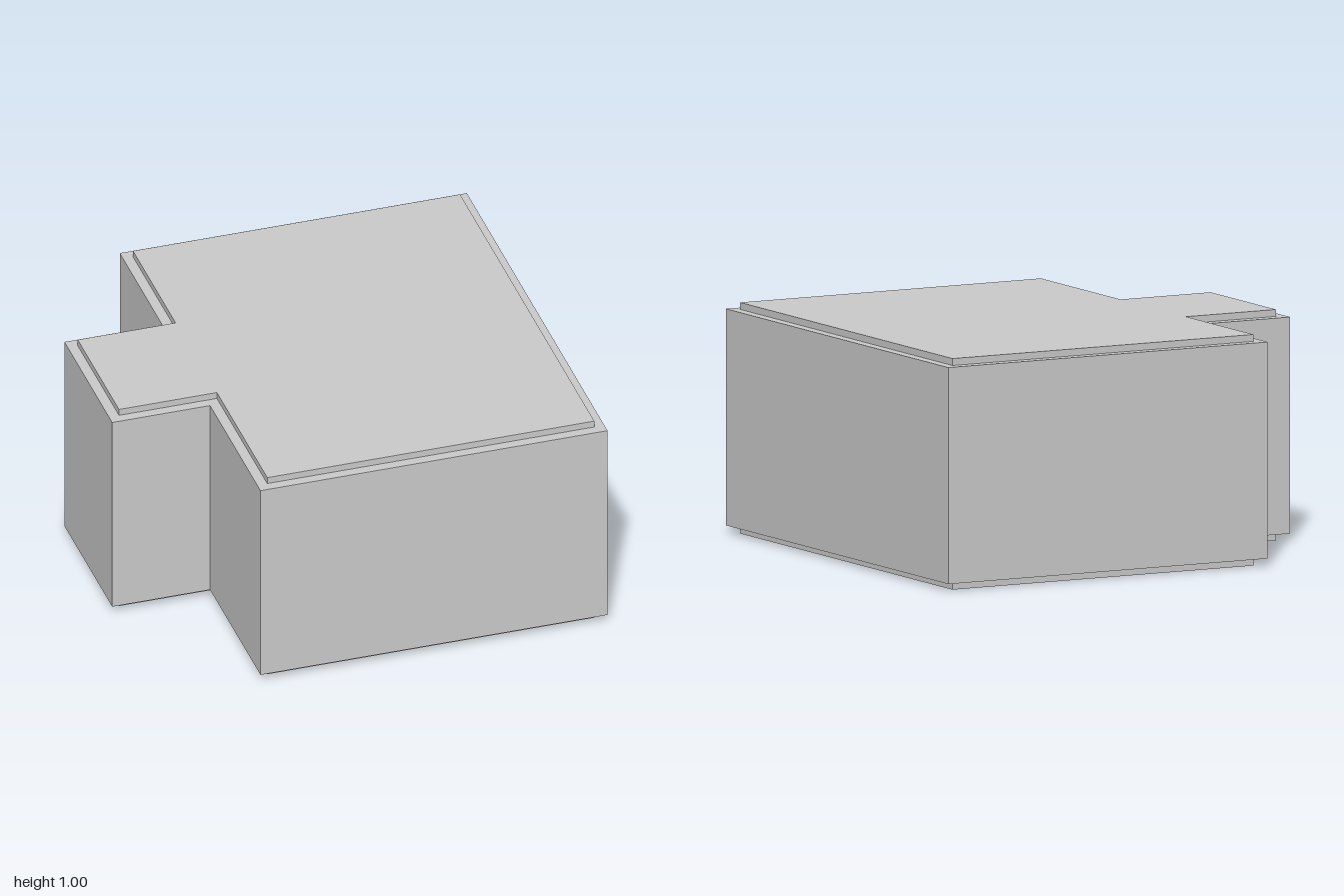
import * as THREE from 'three';

const material = new THREE.MeshStandardMaterial({ color: 0xcccccc, flatShading: true });

// T-shaped plan extruded upwards from y0 to y1, with its outline pulled in by inset
function slab(name, inset, y0, y1) {
  const left = -1 + inset, neck = -0.56 + inset, right = 1 - inset;
  const back = -0.988 + inset, front = 0.988 - inset;
  const tabBack = -0.39 + inset, tabFront = 0.28 - inset;
  const outline = [
    [neck, front], [right, front], [right, back], [neck, back],
    [neck, tabBack], [left, tabBack], [left, tabFront], [neck, tabFront],
  ];
  const shape = new THREE.Shape(outline.map(([x, z]) => new THREE.Vector2(x, -z)));
  const geometry = new THREE.ExtrudeGeometry(shape, { depth: y1 - y0, bevelEnabled: false });
  geometry.rotateX(-Math.PI / 2).translate(0, y0, 0);
  const mesh = new THREE.Mesh(geometry, material);
  mesh.name = name;
  return mesh;
}

export function createModel() {
  const model = new THREE.Group();
  model.name = 'block';
  model.add(
    slab('basePlinth', 0.045, 0, 0.033),
    slab('body', 0, 0.033, 0.97),
    slab('topPlate', 0.045, 0.97, 1.0),
  );
  return model;
}
